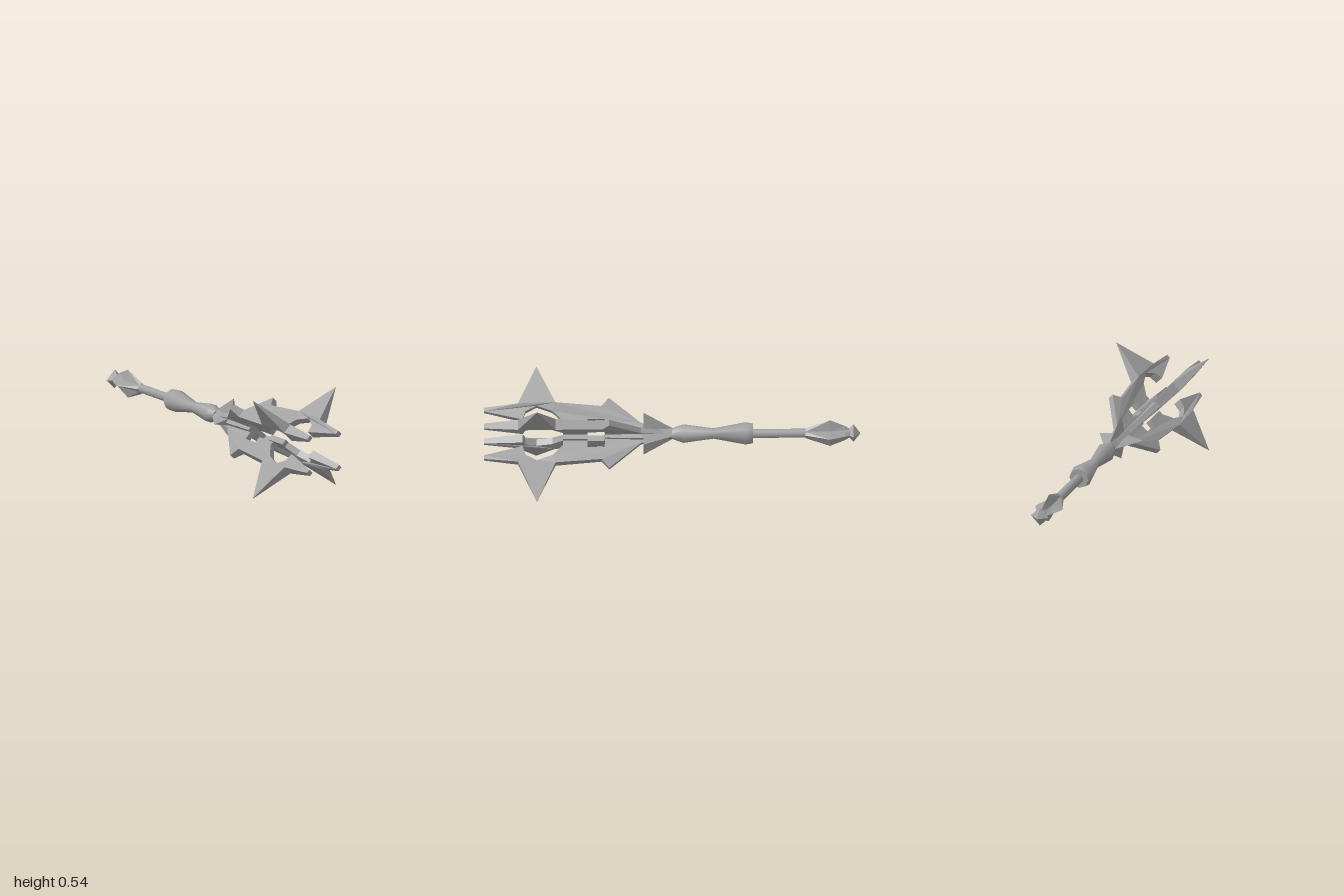
import * as THREE from 'three';
import { toCreasedNormals } from 'three/addons/utils/BufferGeometryUtils.js';

const steel = new THREE.MeshStandardMaterial({ color: 0xa0a0a0 });
steel.name = 'steel grey';

function fromTriangles(pos) {
  const g = new THREE.BufferGeometry();
  g.setAttribute('position', new THREE.Float32BufferAttribute(pos.flat(), 3));
  g.computeVertexNormals();
  return g;
}

// Four-pointed section along z: rows of [z, tip radius, valley radius]
function starLoft(rows) {
  const pos = [];
  const point = ([z, tip, valley], i) => {
    const a = (i * Math.PI) / 4;
    const r = i % 2 ? valley : tip;
    return [r * Math.cos(a), r * Math.sin(a), z];
  };
  const first = rows[0], last = rows[rows.length - 1];
  for (let i = 0; i < 8; i++) {
    for (let k = 0; k < rows.length - 1; k++) {
      const a = point(rows[k], i), b = point(rows[k], i + 1);
      const c = point(rows[k + 1], i + 1), d = point(rows[k + 1], i);
      // split along the ridge side so both halves of a point match
      if (i % 2) pos.push(a, b, d, b, c, d);
      else pos.push(a, b, c, a, c, d);
    }
    pos.push([0, 0, first[0]], point(first, i + 1), point(first, i));
    pos.push([0, 0, last[0]], point(last, i), point(last, i + 1));
  }
  return fromTriangles(pos);
}

// Square section with its corners on the axes
const squareLoft = (rows) => starLoft(rows.map(([z, r]) => [z, r, r * Math.SQRT1_2]));

// Blade outline: [z, distance from axis, half thickness]
const BLADE = [
  [-0.01, 0.012, 0.01], [0.165, 0.056, 0.015], [0.335, 0.195, 0.016],
  [0.375, 0.148, 0.024], [0.62, 0.168, 0.03], [0.72, 0.378, 0.001],
  [0.82, 0.162, 0.028], [1.0, 0.143, 0.014], [1.0, 0.122, 0.014],
  [0.795, 0.074, 0.024], [0.78, 0.12, 0.02], [0.72, 0.152, 0.018],
  [0.635, 0.122, 0.018], [0.58, 0.066, 0.016], [0.58, 0.042, 0.016],
  [0.45, 0.042, 0.016], [0.45, 0.078, 0.016], [0.36, 0.078, 0.016],
  [0.355, 0.03, 0.014], [0.17, 0.01, 0.012],
].reverse();

function bladeGeometry(angle) {
  const c = Math.cos(angle), s = Math.sin(angle);
  const at = (i, side) => {
    const [z, r, t] = BLADE[i % BLADE.length];
    return [r * c - side * t * s, r * s + side * t * c, z];
  };
  const pos = [];
  const outline = BLADE.map(([z, r]) => new THREE.Vector2(z, r));
  for (const [i, j, k] of THREE.ShapeUtils.triangulateShape(outline, [])) {
    pos.push(at(i, 1), at(j, 1), at(k, 1));
    pos.push(at(i, -1), at(k, -1), at(j, -1));
  }
  for (let i = 0; i < BLADE.length; i++) {
    pos.push(at(i, -1), at(i + 1, -1), at(i + 1, 1));
    pos.push(at(i, -1), at(i + 1, 1), at(i, 1));
  }
  return fromTriangles(pos);
}

export function createModel() {
  const model = new THREE.Group();
  model.name = 'bladedMace';
  const weapon = new THREE.Group();
  weapon.name = 'weapon';
  weapon.position.y = 0.27;
  model.add(weapon);
  const add = (name, geometry) => {
    const mesh = new THREE.Mesh(geometry, steel);
    mesh.name = name;
    weapon.add(mesh);
  };

  // Shaft and swelling grip, turned round the z axis
  const profile = [
    [0, -0.95], [0.025, -0.95], [0.025, -0.43], [0.055, -0.43], [0.062, -0.39],
    [0.029, -0.22], [0.052, -0.06], [0.03, 0], [0, 0],
  ].map(([r, z]) => new THREE.Vector2(r, z));
  const grip = new THREE.LatheGeometry(profile, 8).rotateX(Math.PI / 2);
  add('gripAndShaft', toCreasedNormals(grip, 0.9));

  // Square core that holds the blades
  add('headCore', squareLoft([[-0.01, 0.03], [0.16, 0.052], [0.355, 0.045]]));

  // Guard with four sharp fins
  add('guardFins', starLoft([[-0.015, 0.025, 0.018], [0.152, 0.125, 0.03]]));

  // Four blades on the diagonals
  for (let i = 0; i < 4; i++) {
    add('blade' + (i + 1), bladeGeometry(Math.PI / 4 + (i * Math.PI) / 2));
  }

  // Finned pommel and its pointed cap
  add('pommelFins', starLoft([
    [-0.95, 0.022, 0.016], [-0.92, 0.042, 0.02], [-0.84, 0.077, 0.026], [-0.71, 0.03, 0.022],
  ]));
  add('pommelCap', squareLoft([[-1, 0.002], [-0.965, 0.052], [-0.935, 0.018]]));

  return model;
}
